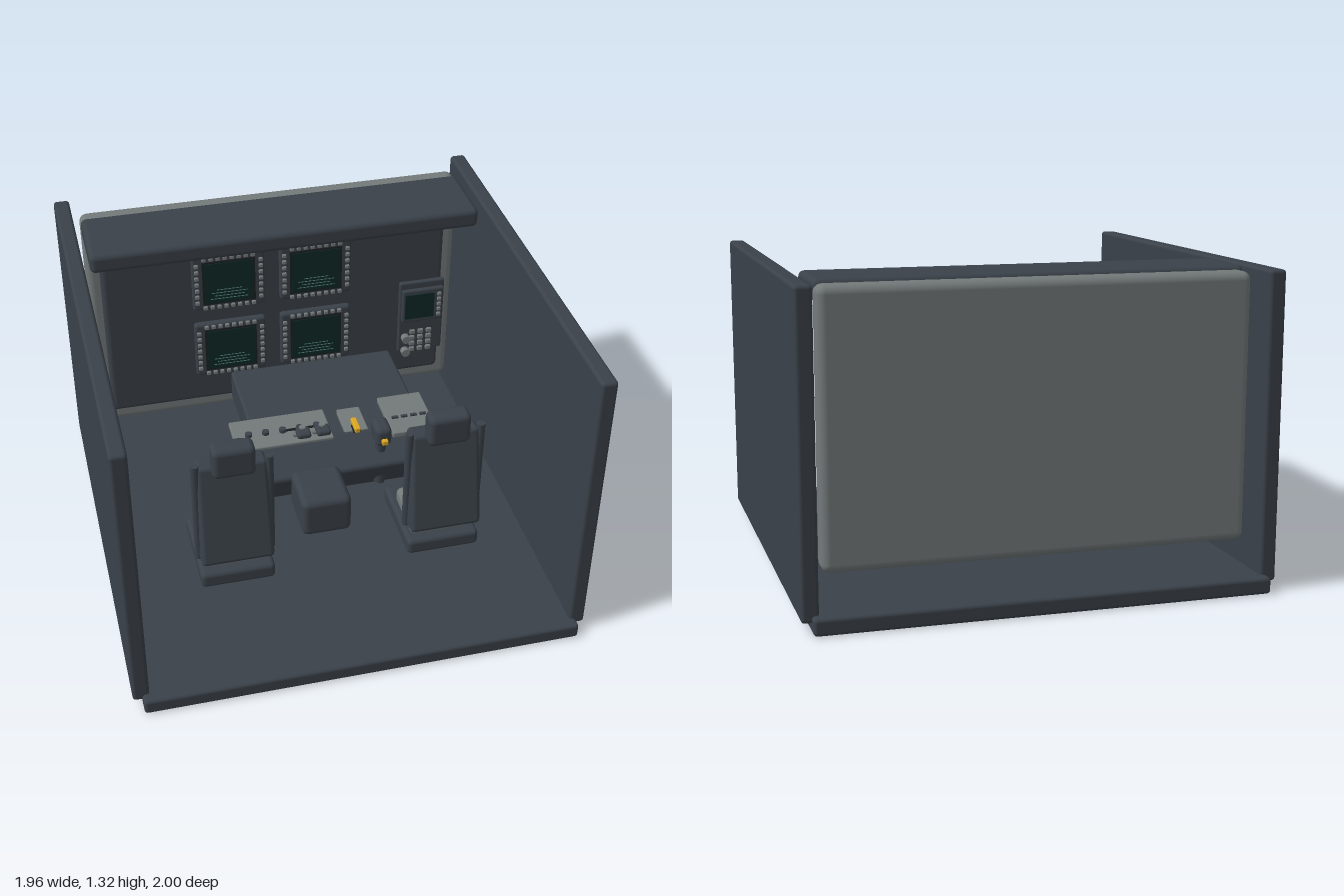
import * as THREE from 'three';
import { RoundedBoxGeometry } from 'three/addons/geometries/RoundedBoxGeometry.js';

const material = (name, color) => {
  const m = new THREE.MeshStandardMaterial({ color });
  m.name = name;
  return m;
};

export function createModel() {
  const dark = material('dark slate', 0x3a4149);
  const grey = material('panel grey', 0x737979);
  const glass = material('screen green', 0x0c2827);
  const line = material('screen line', 0x4a7a74);
  const yellow = material('warning yellow', 0xdba622);
  const black = material('black', 0x1b1e21);

  const root = new THREE.Group();
  root.name = 'cockpitRoom';

  const group = (name, x = 0, y = 0, z = 0, parent = root) => {
    const g = new THREE.Group();
    g.name = name;
    g.position.set(x, y, z);
    parent.add(g);
    return g;
  };
  const add = (name, geo, mat, x, y, z, parent) => {
    const m = new THREE.Mesh(geo, mat);
    m.name = name;
    m.position.set(x, y, z);
    parent.add(m);
    return m;
  };
  // Rounded box from its limits: [x0, x1, y0, y1, z0, z1]
  const block = (name, mat, [x0, x1, y0, y1, z0, z1], r = 0.015, parent = root) => {
    const w = x1 - x0, h = y1 - y0, d = z1 - z0;
    const geo = r ? new RoundedBoxGeometry(w, h, d, 3, Math.min(r, w / 2.1, h / 2.1, d / 2.1))
      : new THREE.BoxGeometry(w, h, d);
    return add(name, geo, mat, (x0 + x1) / 2, (y0 + y1) / 2, (z0 + z1) / 2, parent);
  };
  // Rod between two points
  const rod = (name, mat, a, b, r, parent = root) => {
    const p = new THREE.Vector3(...a), q = new THREE.Vector3(...b);
    const m = add(name, new THREE.CylinderGeometry(r, r, p.distanceTo(q), 16), mat, 0, 0, 0, parent);
    m.position.copy(p).add(q).multiplyScalar(0.5);
    m.quaternion.setFromUnitVectors(new THREE.Vector3(0, 1, 0), q.sub(p).normalize());
    return m;
  };

  // Room shell
  block('floor', dark, [-0.94, 0.94, 0, 0.07, -1, 1], 0.015);
  block('leftWall', dark, [0.91, 0.98, 0.04, 1.32, -0.955, 0.955], 0.015);
  block('rightWall', dark, [-0.98, -0.91, 0.04, 1.32, -0.955, 0.955], 0.015);

  // Instrument panel with overhanging hood
  block('panelBack', grey, [-0.88, 0.88, 0.195, 1.305, -0.86, -0.74], 0.035);
  block('panelFace', dark, [-0.82, 0.82, 0.27, 1.25, -0.78, -0.71], 0.025);
  block('glareHood', dark, [-0.88, 0.88, 1.23, 1.32, -0.775, -0.425], 0.025);

  // Display with a frame, a ring of keys and rows of lines
  const keyGeo = new RoundedBoxGeometry(0.02, 0.018, 0.016, 1, 0.004);
  const display = (x, y) => {
    const g = group('display', x, y, -0.7, root);
    block('bezel', dark, [-0.172, 0.172, -0.147, 0.147, -0.02, 0.02], 0.015, g);
    block('screenFrame', black, [-0.125, 0.125, -0.115, 0.115, 0.015, 0.024], 0, g);
    block('screen', glass, [-0.116, 0.116, -0.106, 0.106, 0.02, 0.028], 0, g);
    for (let i = 0; i < 8; i++) {
      const u = -0.115 + i * 0.0329;
      for (const s of [-1, 1]) add('key', keyGeo, grey, u, s * 0.131, 0.024, g);
    }
    for (let i = 0; i < 7; i++) {
      for (const s of [-1, 1]) add('key', keyGeo, grey, s * 0.152, -0.1 + i * 0.0333, 0.024, g);
    }
    [0.09, 0.07, 0.085, 0.06].forEach((w, i) =>
      block('screenLine', line, [-w, w, -0.085 + i * 0.016, -0.082 + i * 0.016, 0.027, 0.03], 0, g));
  };
  for (const x of [-0.232, 0.184]) for (const y of [0.95, 0.577]) display(x, y);

  // Side panel: small display, keypad and knobs
  const side = group('sidePanel', 0.715, 0, -0.7);
  block('sidePlate', dark, [-0.11, 0.115, 0.4, 0.8, -0.02, 0.008], 0.01, side);
  block('sideBezel', dark, [-0.1, 0.11, 0.58, 0.765, 0, 0.025], 0.012, side);
  block('sideScreen', glass, [-0.085, 0.06, 0.605, 0.74, 0.02, 0.03], 0, side);
  for (let i = 0; i < 5; i++) add('sideKey', keyGeo, grey, 0.085, 0.615 + i * 0.029, 0.028, side);
  for (let r = 0; r < 4; r++) {
    for (let c = 0; c < 3; c++) add('keypadKey', new RoundedBoxGeometry(0.027, 0.022, 0.016, 1, 0.004), grey,
      -0.04 + c * 0.042, 0.415 + r * 0.034, 0.014, side);
  }
  for (const y of [0.41, 0.488]) rod('knob', grey, [-0.075, y, 0], [-0.075, y, 0.04], 0.021, side);

  // Centre console: tilted front block with a shelf behind it
  const nose = add('consoleFront', new RoundedBoxGeometry(0.8, 0.215, 0.2, 3, 0.022), dark, 0.165, 0.298, -0.058, root);
  nose.rotation.x = 0.54;
  block('consoleShelf', dark, [-0.235, 0.565, 0.26, 0.415, -0.71, -0.1], 0.015);
  block('armrest', dark, [-0.115, 0.11, 0.195, 0.385, 0.06, 0.315], 0.03);

  // Control plates
  block('throttlePlate', grey, [-0.33, 0.12, 0.41, 0.438, -0.28, -0.06], 0.006);
  block('gearPlate', grey, [0.18, 0.29, 0.41, 0.438, -0.26, -0.085], 0.006);
  block('switchPlate', grey, [0.39, 0.6, 0.41, 0.438, -0.305, -0.02], 0.006);
  block('throttleSlot', black, [-0.1, 0.1, 0.435, 0.442, -0.163, -0.15], 0);
  for (const x of [-0.26, -0.18, -0.1, -0.02, 0.06])
    rod('toggle', dark, [x, 0.43, -0.155], [x, 0.455, -0.155], 0.016);
  for (let i = 0; i < 4; i++)
    block('switch', dark, [0.415 + i * 0.045, 0.445 + i * 0.045, 0.435, 0.446, -0.14, -0.126], 0);
  rod('sideKnobStem', dark, [0.56, 0.36, -0.135], [0.63, 0.36, -0.135], 0.007);
  rod('sideKnob', dark, [0.62, 0.36, -0.135], [0.665, 0.36, -0.135], 0.012);
  block('consoleSidePlate', dark, [-0.29, -0.23, 0.28, 0.41, -0.25, -0.15], 0.008);
  rod('consoleSideKnob', grey, [-0.26, 0.335, -0.15], [-0.26, 0.335, -0.135], 0.013);

  // Throttle levers
  for (const x of [-0.05, 0.04]) {
    const lever = group('throttleLever', x, 0, 0);
    rod('leverArm', grey, [0, 0.43, -0.13], [0, 0.56, 0.035], 0.013, lever);
    block('leverGrip', dark, [-0.032, 0.032, 0.56, 0.59, 0.015, 0.08], 0.013, lever);
    rod('leverButton', grey, [0, 0.555, 0.03], [0, 0.596, 0.03], 0.015, lever);
  }

  // Yellow gear lever
  block('gearBase', black, [0.215, 0.25, 0.435, 0.445, -0.12, -0.07], 0);
  block('gearLever', yellow, [0.22, 0.247, 0.438, 0.465, -0.15, -0.06], 0.006);

  // Control sticks with yellow triggers
  for (const x of [-0.332, 0.325]) {
    const stick = group('controlStick', x, 0, 0);
    rod('stickPost', dark, [0, 0.19, 0], [0, 0.46, 0], 0.025, stick);
    block('stickHead', dark, [-0.038, 0.038, 0.43, 0.53, -0.055, 0.06], 0.025, stick);
    block('trigger', yellow, [-0.014, 0.014, 0.455, 0.48, 0.045, 0.08], 0.005, stick);
  }

  // Seats, facing the panel
  for (const x of [-0.457, 0.45]) {
    const seat = group('seat', x, 0, 0);
    block('seatBase', dark, [-0.16, 0.16, 0.24, 0.315, 0.185, 0.58], 0.02, seat);
    block('seatCushion', grey, [-0.132, 0.132, 0.3, 0.378, 0.275, 0.53], 0.025, seat);
    const geo = new RoundedBoxGeometry(0.315, 0.475, 0.1, 3, 0.02);
    const p = geo.attributes.position;
    for (let i = 0; i < p.count; i++) p.setX(i, p.getX(i) * (0.96 - 0.12 * p.getY(i)));
    add('seatBack', geo, dark, 0, 0.607, 0.515, seat).rotation.x = -0.17;
    block('headrest', dark, [-0.09, 0.09, 0.82, 0.962, 0.49, 0.582], 0.025, seat);
    for (const s of [-1, 1]) rod('seatRail', dark, [s * 0.155, 0.37, 0.513], [s * 0.155, 0.86, 0.513], 0.018, seat);
    rod('ejectHandle', yellow, [0, 0.217, 0.25], [0, 0.217, 0.28], 0.042, seat);
  }

  return root;
}
